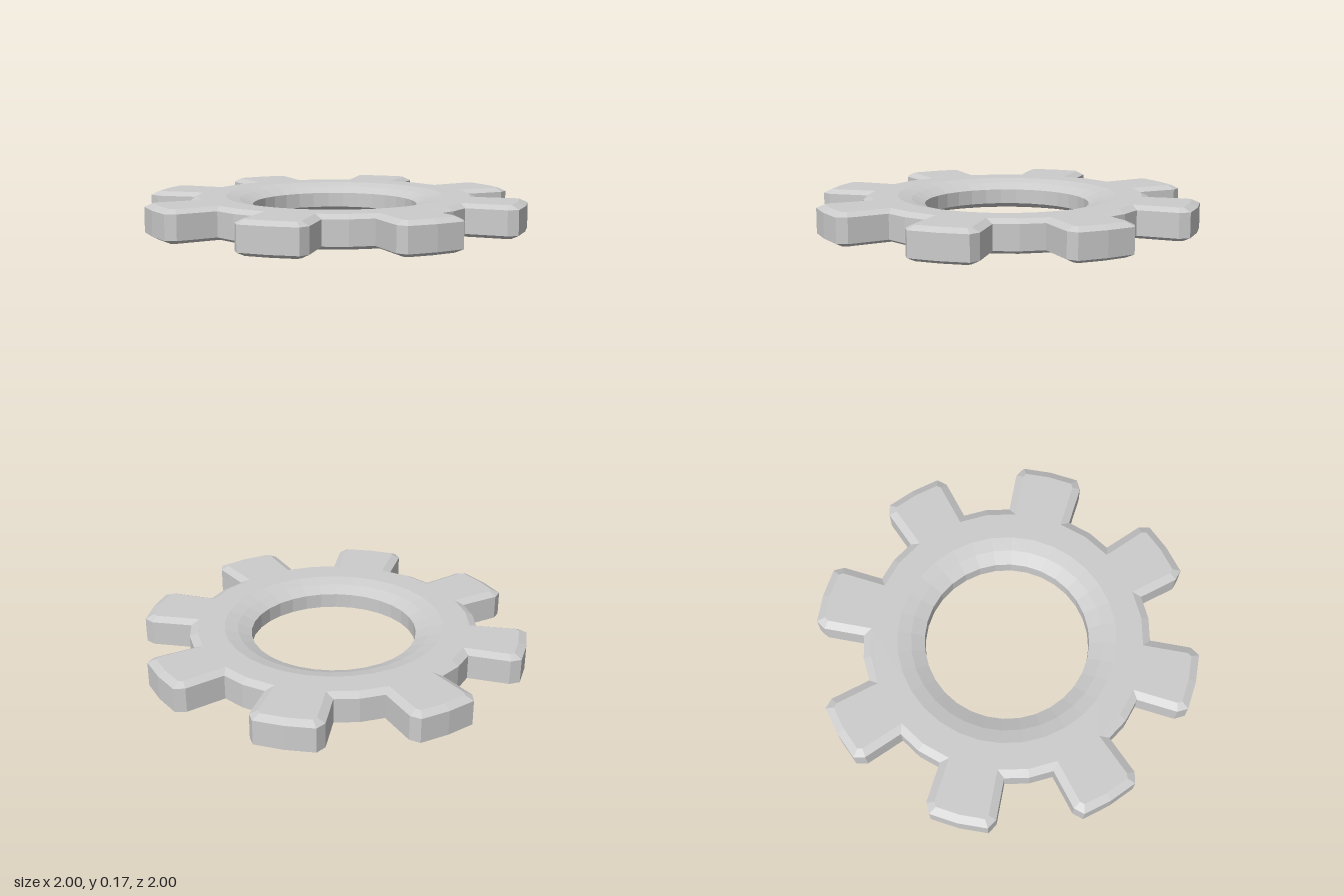
import * as THREE from 'three';

const TEETH = 8, HEIGHT = 0.168, BEVEL = 0.04, BEVEL_H = 0.02, BORE_SIDES = 32;
const PHASE = 11.4; // angle of the first tooth, degrees

// One tooth and the following gap: [degrees from tooth centre, radius]
const TOOTH = [
  [-12.9, 0.745], [-10.8, 0.955], [-8.6, 1], [0, 1],
  [8.6, 1], [10.8, 0.955], [12.9, 0.745], [22.5, 0.75],
];

function polar(degrees, r) {
  const t = THREE.MathUtils.degToRad(degrees);
  return new THREE.Vector2(r * Math.cos(t), r * Math.sin(t));
}

function gearOutline() {
  const points = [];
  for (let k = 0; k < TEETH; k++) {
    for (const [a, r] of TOOTH) points.push(polar(PHASE + a + k * 360 / TEETH, r));
  }
  return points;
}

// Move a counter-clockwise outline inward with mitred corners
function inset(points, d) {
  const n = points.length;
  const normal = (a, b) => new THREE.Vector2(a.y - b.y, b.x - a.x).normalize();
  return points.map((p, i) => {
    const n1 = normal(points[(i + n - 1) % n], p);
    const n2 = normal(p, points[(i + 1) % n]);
    return n1.clone().add(n2).multiplyScalar(d / (1 + n1.dot(n2))).add(p);
  });
}

// Skin stacked outlines, listed from bottom to top
function skin(levels) {
  const positions = [];
  const push = (level, i) => {
    const p = level.points[i % level.points.length];
    positions.push(p.x, level.y, -p.y);
  };
  for (let l = 0; l < levels.length - 1; l++) {
    const a = levels[l], b = levels[l + 1];
    for (let i = 0; i < a.points.length; i++) {
      push(a, i); push(a, i + 1); push(b, i + 1);
      push(a, i); push(b, i + 1); push(b, i);
    }
  }
  const geometry = new THREE.BufferGeometry();
  geometry.setAttribute('position', new THREE.Float32BufferAttribute(positions, 3));
  geometry.computeVertexNormals();
  return geometry;
}

export function createModel() {
  const gear = new THREE.Group();
  gear.name = 'gear';
  const material = new THREE.MeshStandardMaterial({ color: 0xcccccc, flatShading: true });
  const add = (name, geometry) => {
    const mesh = new THREE.Mesh(geometry, material);
    mesh.name = name;
    gear.add(mesh);
    return mesh;
  };

  const outer = gearOutline();
  const inner = inset(outer, BEVEL);

  // Toothed rim with chamfered upper and lower edges
  add('toothedRim', skin([
    { points: inner, y: 0 },
    { points: outer, y: BEVEL_H },
    { points: outer, y: HEIGHT - BEVEL_H },
    { points: inner, y: HEIGHT },
  ]));

  // Flat faces with a round opening
  const face = new THREE.Shape(inner);
  const opening = [];
  for (let i = 0; i < BORE_SIDES; i++) opening.push(polar(-i * 360 / BORE_SIDES, 0.57));
  face.holes.push(new THREE.Path(opening));
  const faceGeometry = new THREE.ShapeGeometry(face);
  add('topFace', faceGeometry.clone().rotateX(-Math.PI / 2).translate(0, HEIGHT, 0));

  // Bottom face: same shape with the winding reversed
  const bottom = faceGeometry.clone().rotateX(-Math.PI / 2);
  bottom.setIndex(Array.from(bottom.index.array).reverse());
  bottom.computeVertexNormals();
  add('bottomFace', bottom);

  // Centre hole with a rounded lip on both sides
  const lip = [[0.57, 0], [0.5, 0.016], [0.43, 0.045]];
  const profile = [
    ...lip.map(([r, y]) => new THREE.Vector2(r, HEIGHT - y)),
    ...lip.slice().reverse().map(([r, y]) => new THREE.Vector2(r, y)),
  ];
  add('centreBore', new THREE.LatheGeometry(profile, BORE_SIDES));

  return gear;
}
